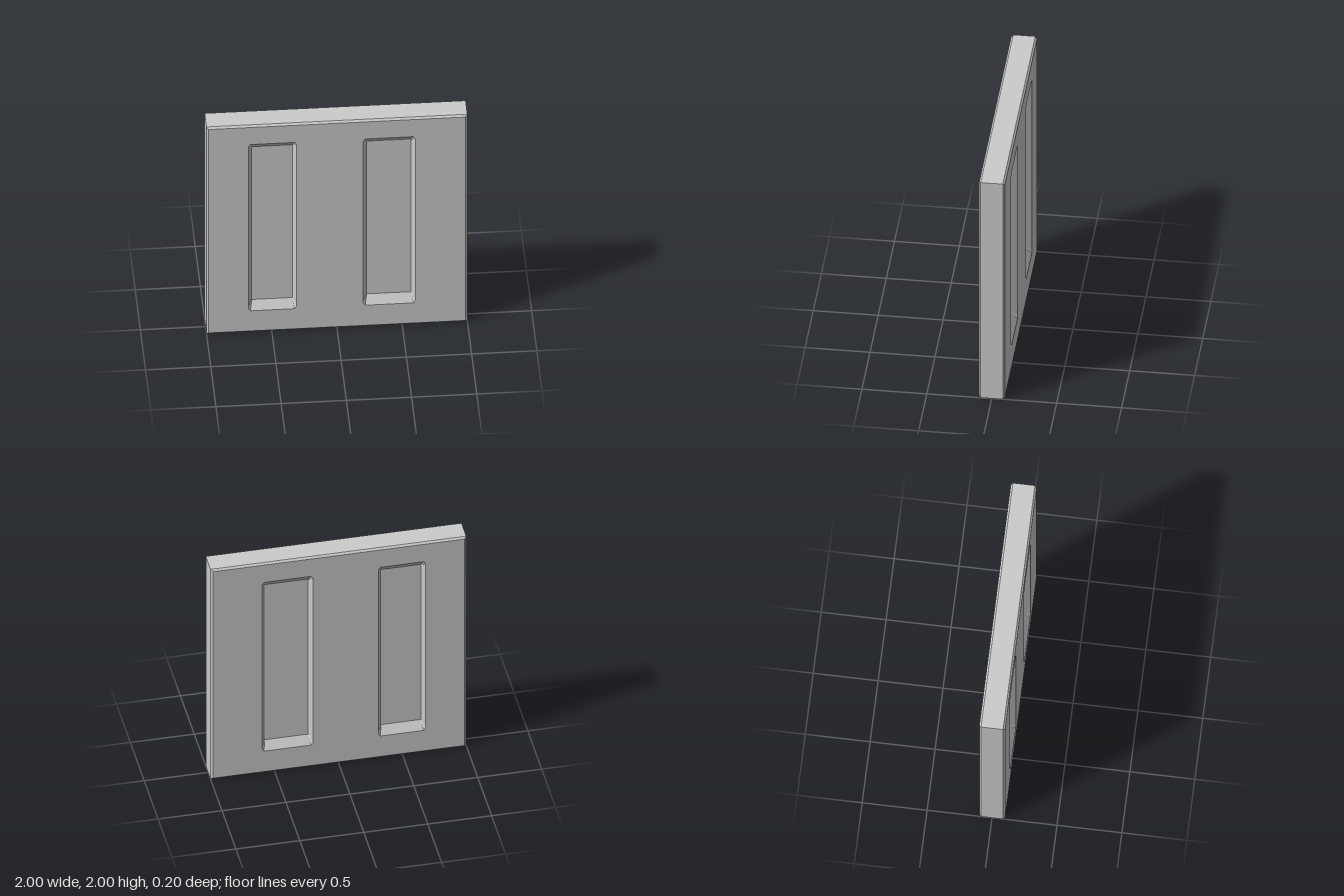
import * as THREE from 'three';

const material = new THREE.MeshStandardMaterial({ color: 0xcccccc, flatShading: true });
const HALF = 0.1, CHAMFER = 0.015, DEPTH = 0.05;

// Recess extents across the width; both share the same height
const RECESSES = [[-0.68, -0.31], [0.2, 0.6]];
const BOTTOM = 0.21, TOP = 1.82;

// Counter-clockwise rectangle with clipped corners
function outline(x0, x1, y0, y1, cx, cy) {
  return [
    [x0 + cx, y0], [x1 - cx, y0], [x1, y0 + cy], [x1, y1 - cy],
    [x1 - cx, y1], [x0 + cx, y1], [x0, y1 - cy], [x0, y0 + cy],
  ].map(([x, y]) => new THREE.Vector2(x, y));
}

function square(inset) {
  const a = -1 + inset, b = 1 - inset;
  return [[a, a], [b, a], [b, b], [a, b]].map(([x, y]) => new THREE.Vector2(x, y + 1));
}

// Skin a row of equal-length rings, each { points, z }
function loft(rings) {
  const positions = [];
  for (let r = 0; r < rings.length - 1; r++) {
    const a = rings[r], b = rings[r + 1], n = a.points.length;
    for (let i = 0; i < n; i++) {
      const j = (i + 1) % n;
      const corner = (ring, k) => [ring.points[k].x, ring.points[k].y, ring.z];
      const [p, q, s, t] = [corner(a, i), corner(a, j), corner(b, j), corner(b, i)];
      positions.push(...p, ...q, ...s, ...p, ...s, ...t);
    }
  }
  const geometry = new THREE.BufferGeometry();
  geometry.setAttribute('position', new THREE.Float32BufferAttribute(positions, 3));
  geometry.computeVertexNormals();
  return geometry;
}

function add(parent, name, geometry, z = 0) {
  const mesh = new THREE.Mesh(geometry, material);
  mesh.name = name;
  mesh.position.z = z;
  parent.add(mesh);
}

// One broad face with its sunken, bevelled panels
function createFace(name, mirror) {
  const face = new THREE.Group();
  face.name = name;
  const shape = new THREE.Shape(square(CHAMFER));
  for (const range of RECESSES) {
    const [x0, x1] = range.map((x) => x * mirror).sort((a, b) => a - b);
    const rim = outline(x0, x1, BOTTOM, TOP, 0.015, 0.025);
    const floor = outline(x0 + 0.028, x1 - 0.028, BOTTOM + 0.07, TOP - 0.06, 0.004, 0.004);
    shape.holes.push(new THREE.Path(rim));
    add(face, 'recessBevel', loft([{ points: rim, z: HALF }, { points: floor, z: HALF - DEPTH }]));
    add(face, 'recessFloor', new THREE.ShapeGeometry(new THREE.Shape(floor)), HALF - DEPTH);
  }
  add(face, 'faceSurface', new THREE.ShapeGeometry(shape), HALF);
  return face;
}

export function createModel() {
  const model = new THREE.Group();
  model.name = 'recessedPanel';

  // Outer edge band with chamfered front and back corners
  add(model, 'edgeBand', loft([
    { points: square(CHAMFER), z: -HALF },
    { points: square(0), z: -HALF + CHAMFER },
    { points: square(0), z: HALF - CHAMFER },
    { points: square(CHAMFER), z: HALF },
  ]));

  // Back recesses line up with the front ones
  model.add(createFace('frontFace', 1));
  const back = createFace('backFace', -1);
  back.rotation.y = Math.PI;
  model.add(back);
  return model;
}
